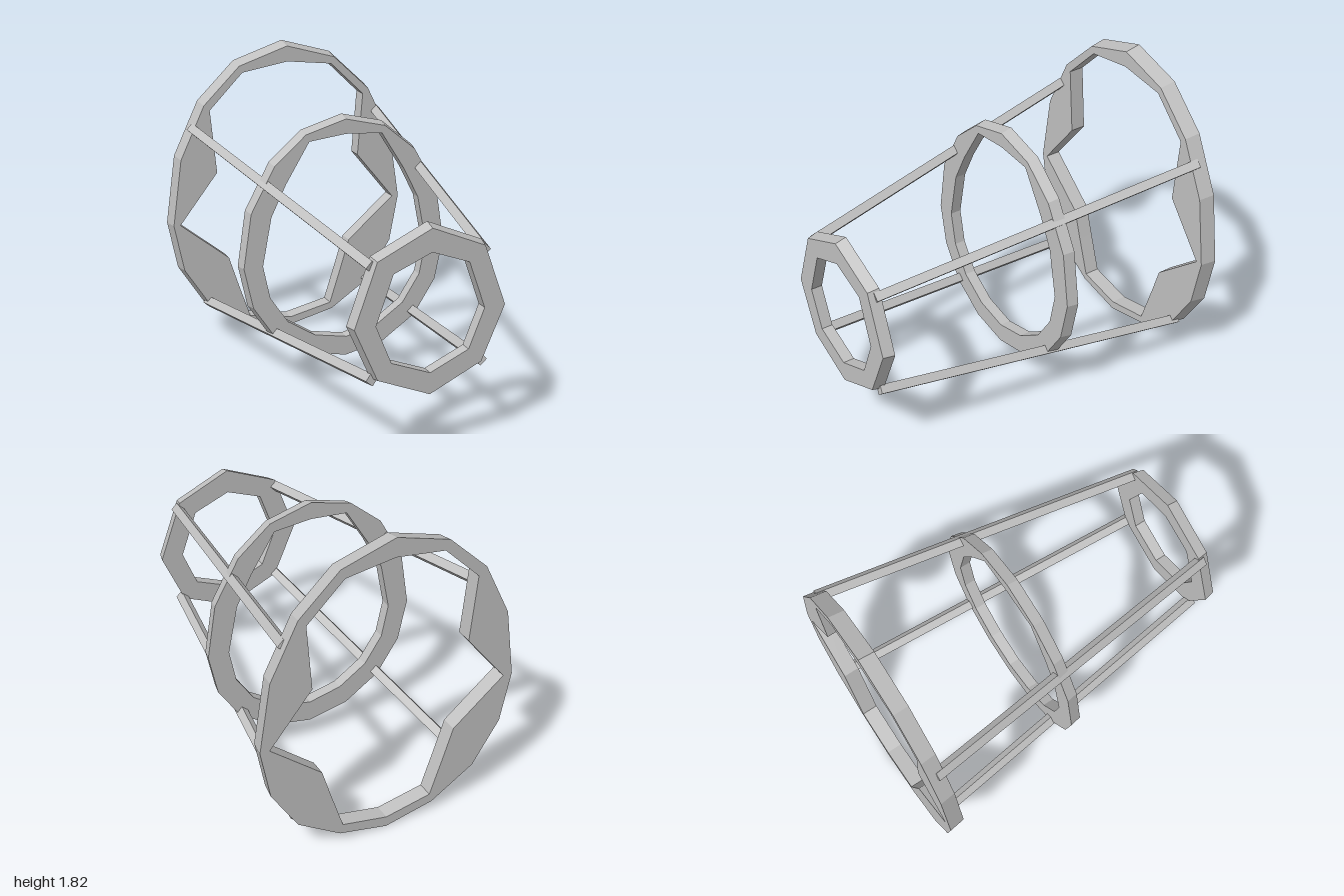
import * as THREE from 'three';

const CENTRE_Y = 0.78;

// Half outline runs from top to bottom on +x; mirror it into a full loop
function mirrorLoop(half) {
  const other = half.slice(1, -1).reverse().map(([x, y]) => [-x, y]);
  return [...half, ...other];
}

// Flat-sided ring between an outer and inner loop, its rim tapering to the front
function ring(name, outerHalf, innerHalf, zFront, zBack, taper, material) {
  const outer = mirrorLoop(outerHalf);
  const inner = mirrorLoop(innerHalf);
  const n = outer.length;
  const OF = outer.map(([x, y]) => [x * taper, CENTRE_Y + (y - CENTRE_Y) * taper, zFront]);
  const OB = outer.map(([x, y]) => [x, y, zBack]);
  const IF = inner.map(([x, y]) => [x, y, zFront]);
  const IB = inner.map(([x, y]) => [x, y, zBack]);
  const pos = [];
  const quad = (a, b, c, d) => pos.push(...a, ...b, ...c, ...a, ...c, ...d);
  for (let i = 0; i < n; i++) {
    const j = (i + 1) % n;
    quad(OF[i], IF[i], IF[j], OF[j]); // front
    quad(OF[i], OF[j], OB[j], OB[i]); // rim
    quad(OB[i], OB[j], IB[j], IB[i]); // back
    quad(IF[i], IB[i], IB[j], IF[j]); // bore
  }
  const geo = new THREE.BufferGeometry();
  geo.setAttribute('position', new THREE.Float32BufferAttribute(pos, 3));
  geo.computeVertexNormals();
  const mesh = new THREE.Mesh(geo, material);
  mesh.name = name;
  return mesh;
}

// Square bar between two points, one side facing radially outward
function strut(name, from, to, material) {
  const a = new THREE.Vector3(...from);
  const b = new THREE.Vector3(...to);
  const mesh = new THREE.Mesh(new THREE.BoxGeometry(0.05, 0.05, a.distanceTo(b)), material);
  mesh.position.copy(a).add(b).multiplyScalar(0.5);
  mesh.up.set(b.x - a.x, b.y - a.y, 0).normalize();
  mesh.lookAt(b);
  mesh.name = name;
  return mesh;
}

export function createModel() {
  const group = new THREE.Group();
  group.name = 'taperedFrame';
  const grey = new THREE.MeshStandardMaterial({ color: 0xc0c0c0, flatShading: true });
  grey.name = 'light grey';

  // Small octagonal front ring
  group.add(ring('frontRing',
    [[0, 1.275], [0.315, 1.135], [0.445, 0.78], [0.31, 0.47], [0, 0.333]],
    [[0, 1.13], [0.215, 1.045], [0.31, 0.78], [0.222, 0.563], [0, 0.47]],
    1, 0.935, 0.965, grey));

  // Sixteen-sided middle ring
  group.add(ring('middleRing',
    [[0, 1.575], [0.245, 1.51], [0.435, 1.35], [0.58, 1.09], [0.63, 0.77],
      [0.578, 0.525], [0.445, 0.32], [0.237, 0.183], [0, 0.135]],
    [[0, 1.475], [0.22, 1.455], [0.36, 1.23], [0.45, 1.05], [0.505, 0.77],
      [0.465, 0.575], [0.36, 0.415], [0.195, 0.305], [0, 0.262]],
    -0.055, -0.12, 0.98, grey));

  // Large back ring with inward side gussets
  group.add(ring('backRing',
    [[0, 1.815], [0.31, 1.72], [0.54, 1.5], [0.695, 1.18], [0.755, 0.77],
      [0.697, 0.475], [0.54, 0.225], [0.287, 0.063], [0, 0]],
    [[0, 1.703], [0.285, 1.663], [0.495, 1.455], [0.46, 1.07], [0.7, 0.77],
      [0.4, 0.52], [0.345, 0.345], [0.27, 0.117], [0, 0.063]],
    -0.908, -1, 0.982, grey));

  // Four struts tying the rings together
  for (const [s, side] of [[1, 'Left'], [-1, 'Right']]) {
    group.add(strut('upperStrut' + side, [s * 0.318, 1.087, 0.965], [s * 0.592, 1.345, -0.955], grey));
    group.add(strut('lowerStrut' + side, [s * 0.315, 0.475, 0.965], [s * 0.525, 0.24, -0.955], grey));
  }
  return group;
}
